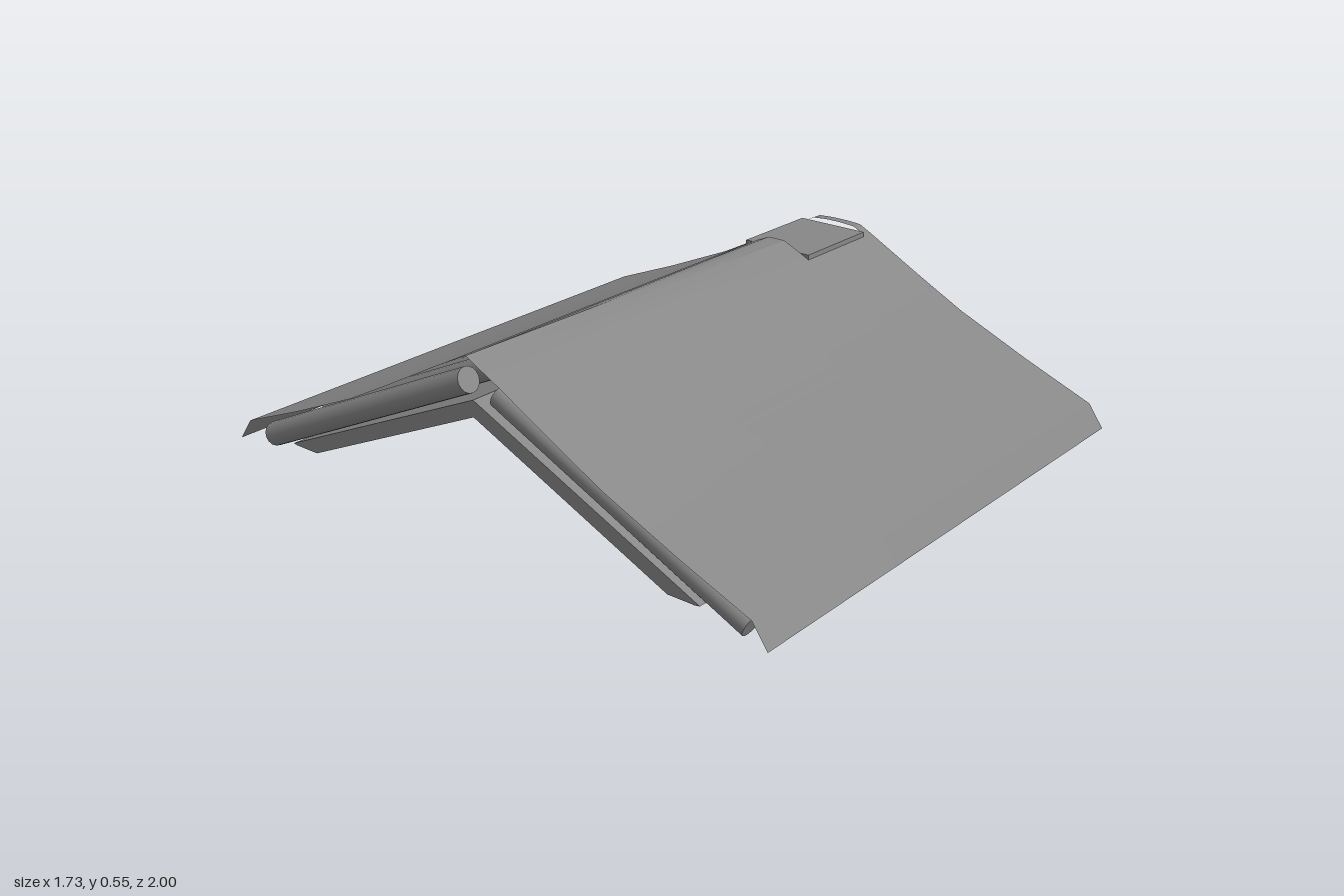
import * as THREE from 'three';
import { toCreasedNormals } from 'three/addons/utils/BufferGeometryUtils.js';

const GREY = 0x878787;
const mat = new THREE.MeshStandardMaterial({ color: GREY });
const thin = new THREE.MeshStandardMaterial({ color: GREY, side: THREE.DoubleSide });

function add(parent, name, geometry, material = mat) {
  const mesh = new THREE.Mesh(geometry, material);
  mesh.name = name;
  parent.add(mesh);
  return mesh;
}

// Half profile of the roof skin, from ridge to eave: [z, y]
const skin = [[0, 0.55], [0.03, 0.532], [0.08, 0.507], [0.12, 0.487], [0.32, 0.379], [0.48, 0.296], [0.72, 0.192], [0.95, 0.1], [1, 0.03]];
const HOLE = { x0: 0.51, x1: 0.83, z: 0.12 };

// Roof skin: sagging sheet with a sloping ridge and an opening for the block
function roofSkin() {
  const xs = [-0.865, -0.3, 0.2, HOLE.x0, HOLE.x1, 0.865];
  const ridge = [0.548, 0.541, 0.534, 0.529, 0.511, 0.51];
  const profile = [...skin.slice(1).reverse().map(([z, y]) => [-z, y]), ...skin];
  const pos = [], index = [], n = profile.length;
  xs.forEach((x, i) => profile.forEach(([z, y]) => pos.push(x, z === 0 ? ridge[i] : Math.min(y, ridge[i]), z)));
  for (let i = 0; i < xs.length - 1; i++) {
    for (let j = 0; j < n - 1; j++) {
      const midZ = (profile[j][0] + profile[j + 1][0]) / 2;
      if (xs[i] === HOLE.x0 && Math.abs(midZ) < HOLE.z) continue;
      const a = i * n + j, c = a + n;
      index.push(a, a + 1, c, c, a + 1, c + 1);
    }
  }
  const g = new THREE.BufferGeometry();
  g.setAttribute('position', new THREE.Float32BufferAttribute(pos, 3));
  g.setIndex(index);
  return toCreasedNormals(g, 0.4);
}

// Extrudes a [z, y] outline along x, centred on x
function extrudeX(points, width, x) {
  const shape = new THREE.Shape(points.map(([z, y]) => new THREE.Vector2(-z, y)));
  const g = new THREE.ExtrudeGeometry(shape, { depth: width, bevelEnabled: false });
  g.translate(0, 0, -width / 2).rotateY(Math.PI / 2).translate(x, 0, 0);
  return g;
}

// Round log between two points in a plane of constant x
function log(parent, name, x, z0, y0, z1, y1, r) {
  const a = new THREE.Vector3(x, y0, z0), b = new THREE.Vector3(x, y1, z1);
  const mesh = add(parent, name, new THREE.CylinderGeometry(r, r, a.distanceTo(b), 16));
  mesh.position.copy(a).add(b).multiplyScalar(0.5);
  mesh.quaternion.setFromUnitVectors(new THREE.Vector3(0, 1, 0), b.sub(a).normalize());
}

export function createModel() {
  const root = new THREE.Group();
  root.name = 'roof';

  add(root, 'roofSkin', roofSkin(), thin);

  // Gable frames: one bent beam at each end
  const depth = 0.05;
  const under = (z) => 0.365 - 0.448 * z;
  const top = (z) => under(z) + depth;
  const half = [[0.67, 0.065], [0.76, 0.065], [0.775, top(0.775)]];
  const gable = [[0, under(0)], ...half, [0, top(0)],
    ...half.map(([z, y]) => [-z, y]).reverse()];
  for (const x of [-0.83, 0.805]) add(root, 'gableBeam', extrudeX(gable, 0.03, x));

  for (const s of [-1, 1]) {
    // Eave plate joining the gable frames, splayed on its inner side
    const plate = [...half, [0.59, top(0.59)]];
    add(root, 'eavePlate', extrudeX(plate.map(([z, y]) => [s * z, y]), 1.63, -0.0125));

    // Ceiling panel between the frames
    const panel = [[0, top(0) - 0.003], [0.7, top(0.7) - 0.003], [0.7, top(0.7)], [0, top(0)]];
    add(root, 'ceilingPanel', extrudeX(panel.map(([z, y]) => [s * z, y]), 1.63, -0.0125));
  }

  // Rafter logs on both slopes, a little uneven
  const rafters = [-0.8, -0.58, -0.47, -0.34, -0.06, 0.09, 0.21, 0.44, 0.535, 0.76];
  rafters.forEach((x, i) => {
    const drop = i === 8 ? 0.01 : 0.003 * Math.sin(i * 2.3);
    log(root, 'frontRafter', x, 0.905, 0.045 - drop, 0.06, 0.432 - drop / 2, 0.038);
    log(root, 'backRafter', x, -0.915, 0.045 - drop, -0.06, 0.444 - drop / 2, 0.038);
  });

  // Chimney block set through the ridge
  const block = add(root, 'chimneyBlock', new THREE.BoxGeometry(0.31, 0.135, 0.246));
  block.position.set(0.665, 0.4325, 0.003);

  return root;
}
